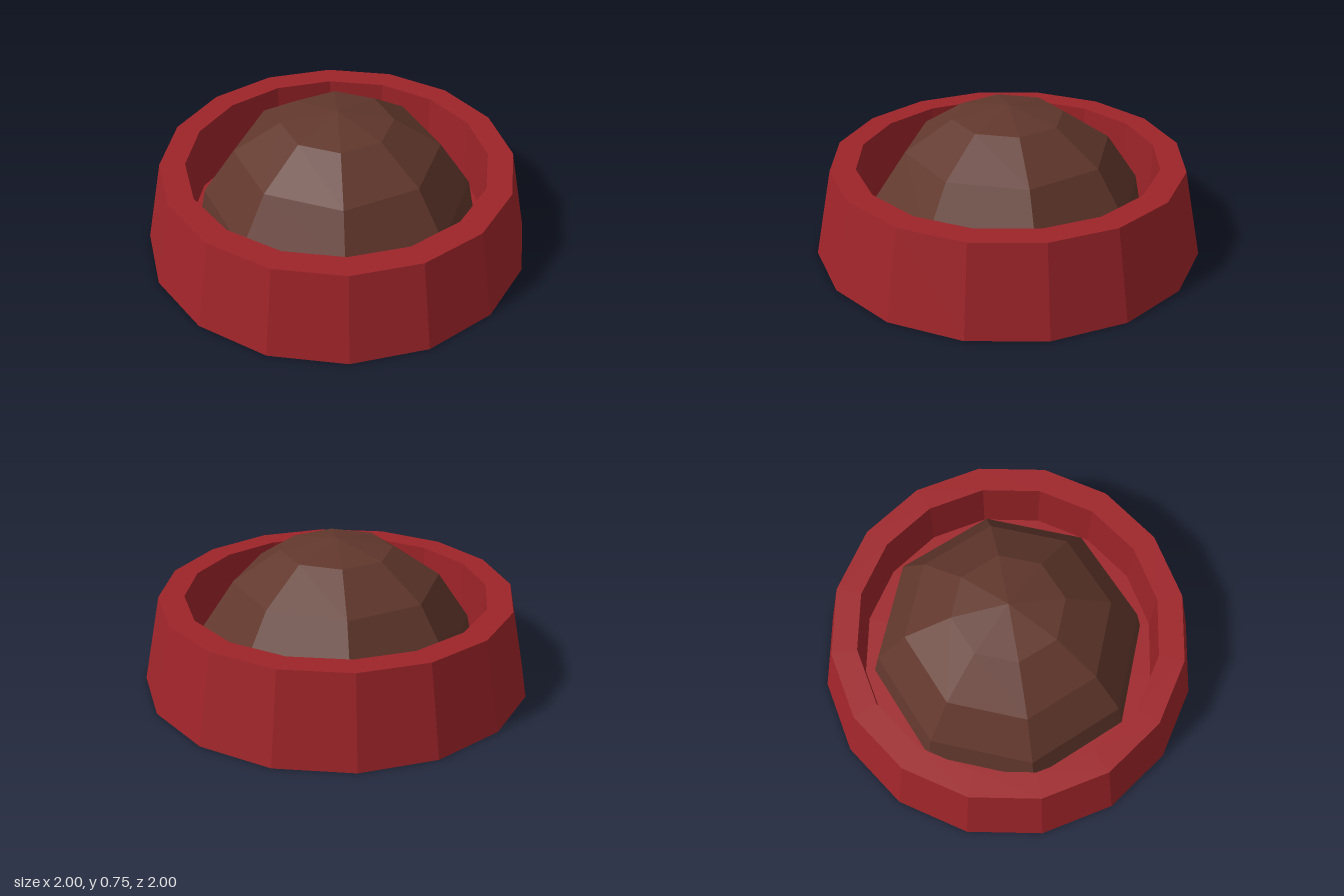
import * as THREE from 'three';

// Faceted solid of revolution from [radius, height] pairs, listed from the base upward.
function turned(name, profile, sides, color) {
  const points = profile.map(([r, y]) => new THREE.Vector2(r, y));
  const mesh = new THREE.Mesh(
    new THREE.LatheGeometry(points, sides),
    new THREE.MeshStandardMaterial({ color, flatShading: true })
  );
  mesh.name = name;
  return mesh;
}

export function createModel() {
  const group = new THREE.Group();
  group.name = 'domeInBowl';

  // Bowl: tapered outer wall, flat rim, upright inner wall and a shallow floor
  group.add(turned('bowl', [
    [0, 0], [1, 0], [0.908, 0.457], [0.777, 0.457], [0.777, 0.1], [0, 0.1],
  ], 16, 0x9e2429));

  // Dome: eight-sided half sphere, its closed base just inside the bowl's underside
  const radius = 0.747;
  const profile = [[0, 0.005], [radius, 0.005]];
  for (let i = 1; i <= 4; i++) {
    const a = (i * Math.PI) / 8;
    profile.push([i === 4 ? 0 : radius * Math.cos(a), radius * Math.sin(a)]);
  }
  group.add(turned('dome', profile, 8, 0x61372c));

  return group;
}
